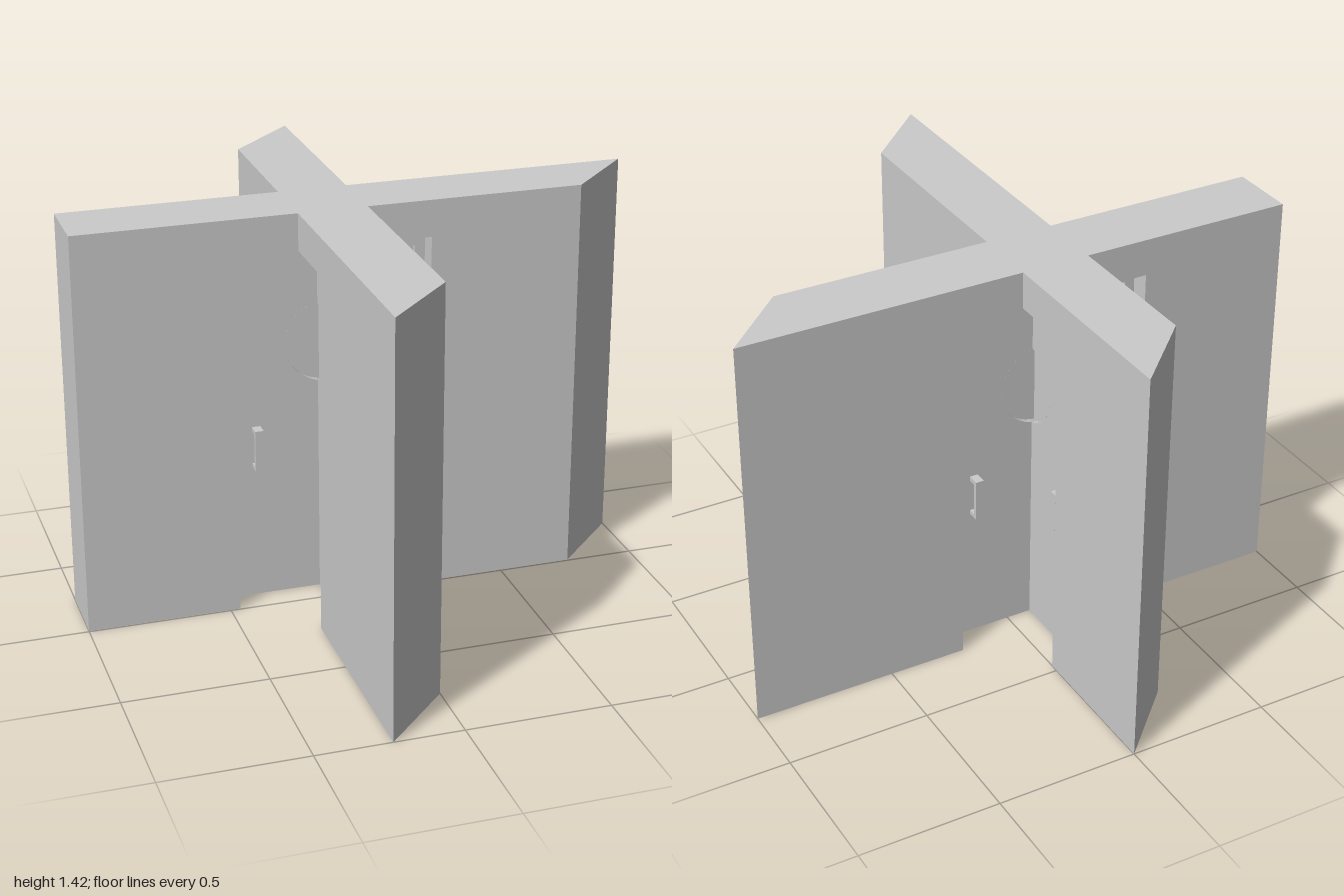
import * as THREE from 'three';

const HEIGHT = 1.42, HEAD = 1.29, DOOR_TOP = 1.24;   // wall, opening and door heights
const WALL = 0.12, FRAME = 0.05, DOOR = 0.03, PANE = 0.01; // half thicknesses
const JAMB = 0.345, LEAF = 0.31;                     // half widths of opening and door
const WIN_Y = 0.928, WIN_R = 0.146;                  // round window

const material = new THREE.MeshStandardMaterial({ color: 0xcccccc, side: THREE.DoubleSide });

function add(parent, name, geometry, x = 0, y = 0, z = 0) {
  const mesh = new THREE.Mesh(geometry, material);
  mesh.name = name;
  mesh.position.set(x, y, z);
  parent.add(mesh);
  return mesh;
}

// Upright strip standing on a plan path of [x, z] points
function strip(path, y0, y1) {
  const pos = [];
  for (let i = 0; i < path.length - 1; i++) {
    const [ax, az] = path[i], [bx, bz] = path[i + 1];
    pos.push(ax, y0, az, bx, y0, bz, bx, y1, bz, ax, y0, az, bx, y1, bz, ax, y1, az);
  }
  const g = new THREE.BufferGeometry();
  g.setAttribute('position', new THREE.Float32BufferAttribute(pos, 3));
  g.computeVertexNormals();
  return g;
}

// Level polygon from [x, z] points, facing up or down
function level(points, y, up = false) {
  const s = up ? -1 : 1;
  const shape = new THREE.Shape(points.map(([x, z]) => new THREE.Vector2(x, s * z)));
  return new THREE.ShapeGeometry(shape).rotateX(s * Math.PI / 2).translate(0, y, 0);
}

// Half of the door face, with its half of the round window cut out
function leafGeometry() {
  const a = Math.acos(DOOR / WIN_R);
  const s = new THREE.Shape();
  s.moveTo(DOOR, 0);
  s.lineTo(LEAF, 0);
  s.lineTo(LEAF, DOOR_TOP);
  s.lineTo(DOOR, DOOR_TOP);
  s.absarc(0, WIN_Y, WIN_R, a, -a, true);
  return new THREE.ShapeGeometry(s, 24).translate(0, 0, DOOR);
}

function paneGeometry() {
  const a = Math.acos(PANE / WIN_R);
  const s = new THREE.Shape();
  s.absarc(0, WIN_Y, WIN_R, -a, a, false);
  return new THREE.ShapeGeometry(s, 24).translate(0, 0, PANE);
}

function rimGeometry() {
  const a = Math.acos(DOOR / WIN_R);
  return new THREE.CylinderGeometry(WIN_R, WIN_R, DOOR - PANE, 24, 1, true, Math.PI / 2 - a, 2 * a)
    .rotateX(-Math.PI / 2).translate(0, WIN_Y, (DOOR + PANE) / 2);
}

// Bracket pull handle
function createHandle() {
  const handle = new THREE.Group();
  handle.name = 'handle';
  add(handle, 'handleGrip', new THREE.BoxGeometry(0.03, 0.15, 0.015), 0, 0, 0.036);
  for (const s of [-1, 1])
    add(handle, 'handlePost', new THREE.BoxGeometry(0.03, 0.015, 0.03), 0, s * 0.0675, 0.014);
  handle.position.set(0.252, 0.565, DOOR);
  return handle;
}

// One side of a doorway in one arm
function createDoorSide(withHandle) {
  const side = new THREE.Group();
  side.name = 'doorSide';
  add(side, 'doorLeaf', leafGeometry());
  add(side, 'windowPane', paneGeometry());
  add(side, 'windowRim', rimGeometry());
  add(side, 'frameJamb', strip([[LEAF, DOOR], [LEAF, FRAME], [JAMB, FRAME]], 0, DOOR_TOP));
  add(side, 'frameLintel', strip([[FRAME, FRAME], [JAMB, FRAME]], DOOR_TOP, HEAD));
  add(side, 'frameSoffit', level([[DOOR, DOOR], [LEAF, DOOR], [LEAF, FRAME], [FRAME, FRAME]], DOOR_TOP));
  add(side, 'wallSoffit', level([[FRAME, FRAME], [JAMB, FRAME], [JAMB, WALL], [WALL, WALL]], HEAD));
  if (withHandle) side.add(createHandle());
  return side;
}

// Hollow wall arm along +x; a and b are its lengths on the +z and -z faces
function createArm(a, b) {
  const arm = new THREE.Group();
  arm.name = 'wallArm';
  const end = [[a, WALL], [b, -WALL]];
  add(arm, 'wall', strip([[JAMB, FRAME], [JAMB, WALL], ...end, [JAMB, -WALL], [JAMB, -FRAME]], 0, HEAD));
  const outline = [[WALL, WALL], ...end, [WALL, -WALL]];
  add(arm, 'wallHeader', strip(outline, HEAD, HEIGHT));
  add(arm, 'wallTop', level([[0, 0], ...outline], HEIGHT, true));
  return arm;
}

export function createModel() {
  const model = new THREE.Group();
  model.name = 'crossedWallsWithDoors';
  // Arms to the left, front, right and back, some with slanted ends
  const arms = [[0.88, 1.12], [1.125, 0.885], [0.88, 0.88], [0.875, 0.64]];
  arms.forEach(([a, b], k) => {
    const arm = createArm(a, b);
    for (const s of [1, -1]) {
      const side = createDoorSide(!(k === 1 && s === -1));
      side.scale.z = s;
      arm.add(side);
    }
    arm.rotation.y = -k * Math.PI / 2;
    arm.position.set(-0.12, 0, -0.125);
    model.add(arm);
  });
  return model;
}
